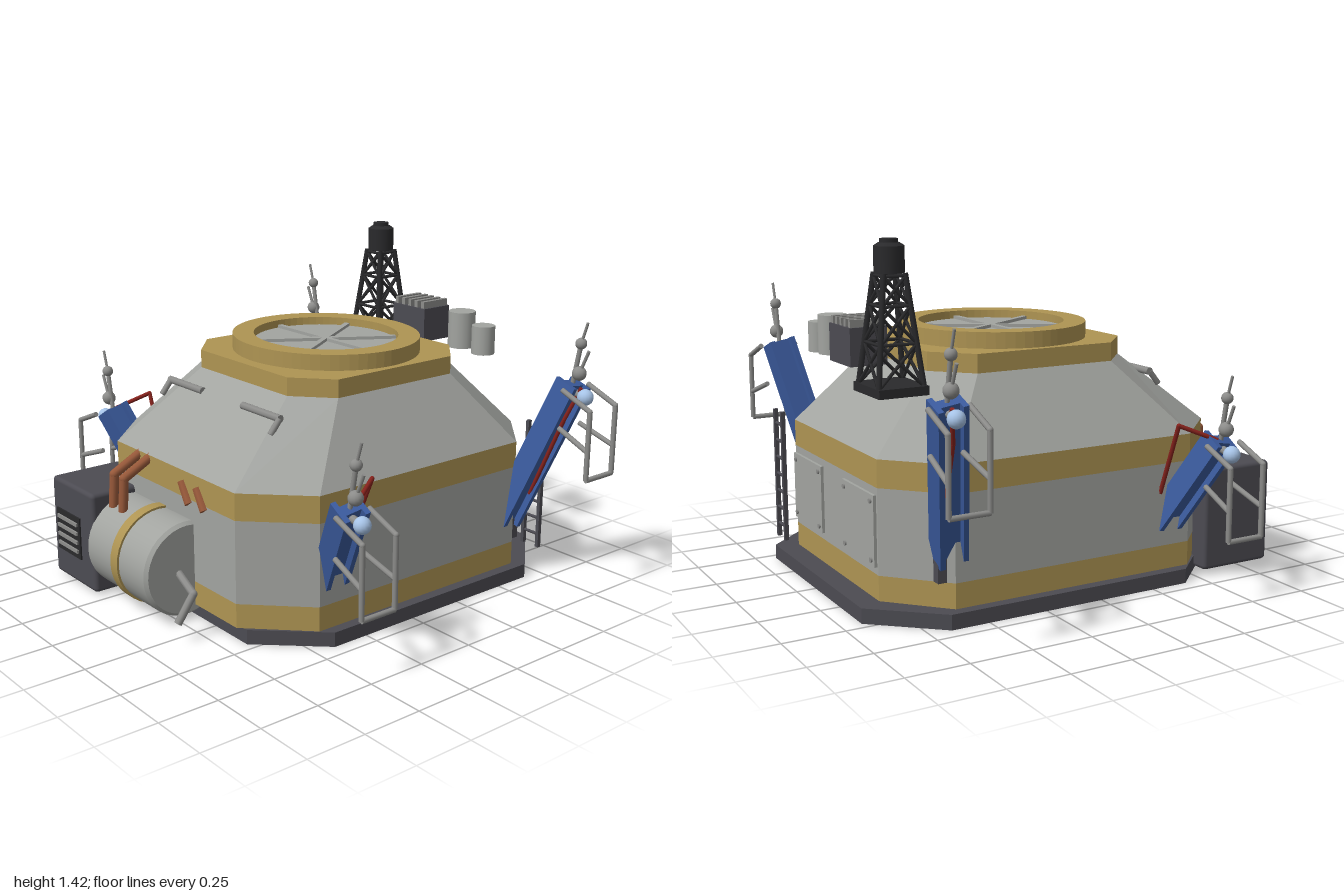
import * as THREE from 'three';
import { RoundedBoxGeometry } from 'three/addons/geometries/RoundedBoxGeometry.js';

const mat = (name, color) => Object.assign(new THREE.MeshStandardMaterial({ color }), { name });
const V = (x, y, z) => new THREE.Vector3(x, y, z);

export function createModel() {
  const root = new THREE.Group();
  root.name = 'fieldModule';
  const hull = mat('hull grey', 0xa2a4a0), ochre = mat('ochre', 0xae9453), dark = mat('dark grey', 0x4c4b52),
    black = mat('black', 0x2a2a2c), blue = mat('blue', 0x3b5b9e), steel = mat('steel', 0x8c8c8a),
    copper = mat('copper', 0x98593a), red = mat('red', 0x86221c), glass = mat('lamp blue', 0xa9c6ea);

  const add = (name, geo, m, pos = [0, 0, 0], parent = root) => {
    const mesh = new THREE.Mesh(geo, m);
    mesh.name = name;
    mesh.position.set(...pos);
    parent.add(mesh);
    return mesh;
  };
  const box = (name, m, x0, x1, y0, y1, z0, z1, parent) =>
    add(name, new THREE.BoxGeometry(x1 - x0, y1 - y0, z1 - z0), m, [(x0 + x1) / 2, (y0 + y1) / 2, (z0 + z1) / 2], parent);
  const rod = (name, m, a, b, r, parent, sides = 8) => {
    const d = b.clone().sub(a);
    const mesh = add(name, new THREE.CylinderGeometry(r, r, d.length(), sides), m, a.clone().lerp(b, 0.5).toArray(), parent);
    mesh.quaternion.setFromUnitVectors(V(0, 1, 0), d.normalize());
    return mesh;
  };
  const ball = (name, m, p, r, parent) => add(name, new THREE.SphereGeometry(r, 14, 10), m, p.toArray(), parent);
  // bent pipe: straight runs with ball joints
  const pipe = (name, m, pts, r, parent = root) => {
    const g = new THREE.Group();
    g.name = name;
    parent.add(g);
    for (let i = 0; i < pts.length - 1; i++) {
      rod(name + 'Run', m, pts[i], pts[i + 1], r, g);
      if (i) ball(name + 'Elbow', m, pts[i], r, g);
    }
  };

  // Octagonal ring: half width, half width of end edges, front/back z, side edge z range
  const ring = (y, hx, ex, zf, zb, sf, sb) => [[-ex, zf], [ex, zf], [hx, sf], [hx, sb], [ex, zb], [-ex, zb], [-hx, sb], [-hx, sf]]
    .map(([x, z]) => [x, y, z]);
  const loft = (name, m, lo, hi) => {
    const p = [], n = lo.length;
    for (let i = 0; i < n; i++) {
      const j = (i + 1) % n;
      p.push(...lo[i], ...lo[j], ...hi[j], ...lo[i], ...hi[j], ...hi[i]);
      if (i > 0 && i < n - 1) p.push(...hi[0], ...hi[i], ...hi[j], ...lo[0], ...lo[j], ...lo[i]);
    }
    const g = new THREE.BufferGeometry();
    g.setAttribute('position', new THREE.Float32BufferAttribute(p, 3));
    g.computeVertexNormals();
    add(name, g, m);
  };
  const base = y => ring(y, 0.69, 0.46, 0.66, -0.92, 0.41, -0.66);
  const body = y => ring(y, 0.645, 0.42, 0.68, -0.83, 0.45, -0.62);
  const top = y => ring(y, 0.445, 0.295, 0.33, -0.555, 0.195, -0.415);
  loft('baseSlab', dark, base(0), base(0.06));
  loft('lowerBand', ochre, body(0.06), body(0.16));
  loft('wall', hull, body(0.16), body(0.5));
  loft('upperBand', ochre, body(0.5), body(0.61));
  loft('slopedRoof', hull, body(0.61), top(0.9));
  loft('roofCollar', ochre, top(0.9), top(0.975));

  // Round hatch ring, slightly oval, with a spoked cover
  const hatch = new THREE.Group();
  hatch.name = 'hatch';
  hatch.position.z = -0.11;
  hatch.scale.x = 1.075;
  root.add(hatch);
  const ringShape = new THREE.Shape().absarc(0, 0, 0.386, 0, Math.PI * 2);
  ringShape.holes.push(new THREE.Path().absarc(0, 0, 0.298, 0, Math.PI * 2, true));
  const ringGeo = new THREE.ExtrudeGeometry(ringShape, { depth: 0.065, bevelEnabled: false, curveSegments: 32 });
  add('hatchRing', ringGeo.rotateX(-Math.PI / 2), ochre, [0, 0.975, 0], hatch);
  add('hatchCover', new THREE.CylinderGeometry(0.298, 0.298, 0.03, 40), hull, [0, 0.992, 0], hatch);
  for (let i = 0; i < 3; i++)
    add('hatchSpoke', new THREE.BoxGeometry(0.59, 0.014, 0.022), hull, [0, 1.013, 0], hatch).rotation.y = i * Math.PI / 3;

  // Grab rails on the front slope
  for (const [a, b, leg] of [[-0.415, -0.17, -0.405], [0.11, 0.355, 0.355]]) {
    rod('grabRail', steel, V(a, 0.835, 0.41), V(b, 0.835, 0.41), 0.016);
    rod('grabRailLeg', steel, V(leg, 0.835, 0.415), V(leg, 0.78, 0.46), 0.013);
  }

  // Generator housing with vent
  add('generatorHousing', new RoundedBoxGeometry(0.335, 0.435, 0.335, 2, 0.018), dark, [-0.463, 0.228, 0.718]);
  box('vent', black, -0.59, -0.4, 0.13, 0.315, 0.88, 0.892);
  for (let i = 0; i < 4; i++) box('ventSlat', steel, -0.575, -0.415, 0.155 + i * 0.04, 0.17 + i * 0.04, 0.885, 0.9);

  // Tank lying along x
  const tank = new THREE.CylinderGeometry(0.198, 0.198, 0.425, 36).rotateZ(Math.PI / 2);
  add('tank', tank, hull, [-0.0875, 0.22, 0.712]);
  const rim = new THREE.CylinderGeometry(0.185, 0.198, 0.015, 36).rotateZ(-Math.PI / 2);
  add('tankEnd', rim, hull, [0.1325, 0.22, 0.712]);
  add('tankBand', new THREE.CylinderGeometry(0.207, 0.207, 0.05, 36).rotateZ(Math.PI / 2), ochre, [-0.083, 0.22, 0.712]);
  pipe('drainPipe', steel, [V(0.13, 0.212, 0.75), V(0.285, 0.185, 0.785), V(0.285, 0.08, 0.86)], 0.016);

  // Copper lines
  for (const x of [-0.26, -0.185])
    pipe('feedLine', copper, [V(x, 0.39, 0.805), V(x, 0.53, 0.795), V(x, 0.6, 0.66)], 0.02);
  for (const x of [0.06, 0.165])
    rod('shortLine', copper, V(x, 0.56, 0.675), V(x + 0.055, 0.48, 0.68), 0.021);

  // Service panels with corner bolts at the back
  for (const c of [-0.26, 0.26]) {
    box('servicePanel', hull, c - 0.15, c + 0.15, 0.19, 0.47, -0.842, -0.83);
    for (const dx of [-0.125, 0.125]) for (const y of [0.215, 0.445])
      add('panelBolt', new THREE.CylinderGeometry(0.01, 0.01, 0.01, 8).rotateX(Math.PI / 2), steel, [c + dx, y, -0.844]);
  }

  // Ladder
  for (const x of [0.505, 0.59]) box('ladderRail', dark, x - 0.008, x + 0.008, 0.06, 0.63, -0.863, -0.845);
  for (let i = 0; i < 7; i++) rod('ladderRung', dark, V(0.505, 0.12 + i * 0.075, -0.854), V(0.59, 0.12 + i * 0.075, -0.854), 0.007);

  // Four channel arms, each with railing, lamp and whip aerial
  const arm = (s, name, lo, hi, w, railTop, hose) => {
    const g = new THREE.Group();
    g.name = name;
    root.add(g);
    const P = (x, y, z) => V(s * x, y, z);
    const a = P(...lo), b = P(...hi), d = b.clone().sub(a), len = d.length();
    d.normalize();
    const side = V(0, 0, 1).addScaledVector(d, -d.z).normalize();
    const beam = new THREE.Group();
    beam.name = 'beam';
    beam.position.copy(a).lerp(b, 0.5);
    beam.quaternion.setFromRotationMatrix(new THREE.Matrix4().makeBasis(V(0, 0, 0).crossVectors(d, side), d, side));
    g.add(beam);
    add('beamWeb', new THREE.BoxGeometry(0.045, len, w), blue, [0, 0, 0], beam);
    for (const k of [-1, 1]) add('beamFlange', new THREE.BoxGeometry(0.1, len, 0.022), blue, [0, 0, k * w / 2], beam);

    const z = hi[2], t = railTop, mid = t - 0.17, low = t - 0.29, X = 0.987, r = 0.011;
    for (const k of [-0.08, 0.08]) {
      pipe('railSide', steel, [P(0.84, t + 0.06, z + k), P(X, t, z + k), P(X, low, z + k)], r, g);
      rod('railStub', steel, P(0.82, mid + 0.06, z + k * 0.8), P(X, mid, z + k), r, g);
    }
    rod('railBottom', steel, P(X, low, z - 0.08), P(X, low, z + 0.08), r, g);

    ball('lamp', glass, P(0.895, t + 0.027, z), 0.034, g);
    rod('lampNeck', steel, P(0.82, t + 0.04, z), P(0.88, t + 0.03, z), 0.016, g);
    ball('lowerKnob', steel, P(0.857, t + 0.12, z), 0.03, g);
    ball('upperKnob', steel, P(0.858, t + 0.245, z), 0.024, g);
    rod('mast', steel, P(0.82, t + 0.04, z), P(0.858, t + 0.245, z), 0.01, g);
    rod('knobStrut', steel, P(0.857, t + 0.12, z), P(0.9, t + 0.22, z), 0.007, g);
    rod('whip', steel, P(0.858, t + 0.245, z), P(0.886, t + 0.335, z), 0.006, g);
    pipe('hose', red, hose.map(p => P(...p)), 0.009, g);
  };
  for (const s of [1, -1]) {
    arm(s, 'frontArm', [0.6, 0.24, 0.36], [0.83, 0.62, 0.46], 0.09, 0.545,
      [[0.64, 0.38, 0.31], [0.765, 0.68, 0.3], [0.83, 0.62, 0.44]]);
    arm(s, 'rearArm', [0.592, 0.24, -0.62], [0.832, 0.885, -0.742], 0.095, 0.81,
      [[0.87, 0.87, -0.745], [0.815, 0.73, -0.715], [0.67, 0.37, -0.69]]);
    box('armMount', dark, s * 0.6 - 0.02, s * 0.6 + 0.02, 0.16, 0.42, -0.68, -0.62);
  }

  // Lattice tower
  const tower = new THREE.Group();
  tower.name = 'tower';
  tower.position.set(-0.345, 0, -0.73);
  root.add(tower);
  box('towerFoot', black, -0.118, 0.118, 0.84, 0.875, -0.102, 0.102, tower);
  const half = y => 0.092 - (y - 0.87) / 0.41 * 0.047;
  const corners = [[-1, -1], [1, -1], [1, 1], [-1, 1]];
  const at = (c, y) => V(c[0] * half(y), y, c[1] * half(y));
  const levels = [0.87, 1.03, 1.17, 1.28];
  corners.forEach((c, i) => {
    const n = corners[(i + 1) % 4];
    rod('towerLeg', black, at(c, 0.87), at(c, 1.29), 0.012, tower, 6);
    for (let k = 0; k < 3; k++) {
      rod('towerBrace', black, at(c, levels[k]), at(n, levels[k + 1]), 0.007, tower, 5);
      rod('towerBrace', black, at(n, levels[k]), at(c, levels[k + 1]), 0.007, tower, 5);
      rod('towerTie', black, at(c, levels[k + 1]), at(n, levels[k + 1]), 0.007, tower, 5);
    }
  });
  add('towerHead', new THREE.CylinderGeometry(0.058, 0.058, 0.1, 16), black, [0, 1.34, 0], tower);
  add('towerShoulder', new THREE.CylinderGeometry(0.04, 0.058, 0.012, 16), black, [0, 1.396, 0], tower);
  add('towerCap', new THREE.CylinderGeometry(0.035, 0.035, 0.015, 16), black, [0, 1.409, 0], tower);

  // Finned cooler and two canisters
  box('cooler', dark, -0.185, 0.02, 0.92, 1.07, -0.825, -0.67);
  for (let i = 0; i < 5; i++) box('coolerFin', steel, -0.176 + i * 0.042, -0.157 + i * 0.042, 1.06, 1.1, -0.82, -0.675);
  add('largeCanister', new THREE.CylinderGeometry(0.06, 0.06, 0.16, 16), hull, [0.182, 1.0, -0.745]);
  add('smallCanister', new THREE.CylinderGeometry(0.051, 0.051, 0.125, 16), hull, [0.314, 0.975, -0.745]);
  return root;
}
